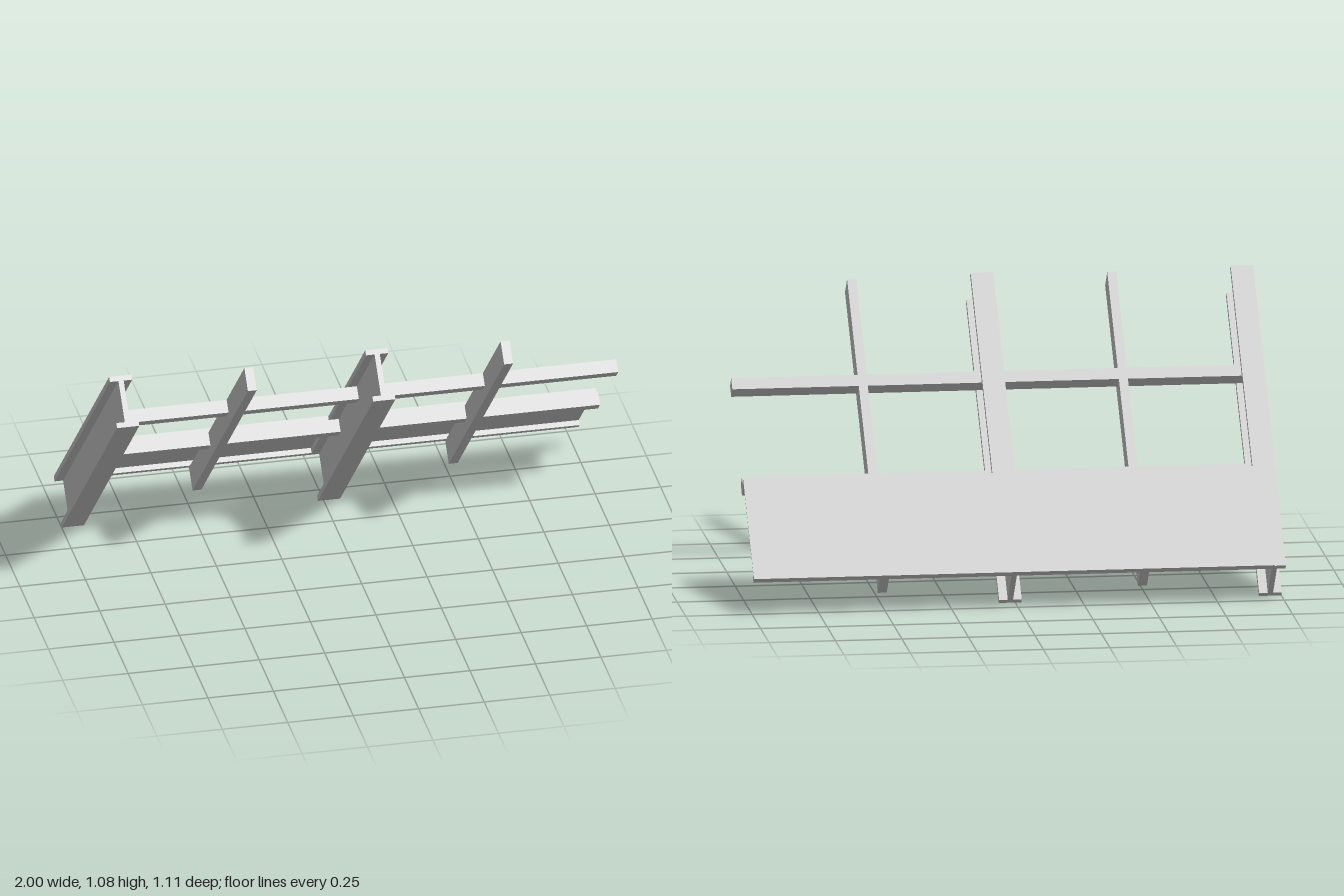
import * as THREE from 'three';

const LENGTH = 1.35, DEPTH = 0.2, FLANGE_W = 0.085, FLANGE_T = 0.02, WEB_T = 0.02;
const LEFT_END = 1, RIGHT_END = -0.957; // crosswise members start at the outer beam's web

export function createModel() {
  const model = new THREE.Group();
  model.name = 'roofSection';
  const grey = new THREE.MeshStandardMaterial({ color: 0xc0c0c0 });
  grey.name = 'light grey';

  // Everything is built flat (z along the slope, y normal to it), then tilted
  const frame = new THREE.Group();
  frame.name = 'slopedFrame';
  frame.position.y = 0.541;
  frame.rotation.x = -THREE.MathUtils.degToRad(44);
  model.add(frame);

  const add = (name, geometry, x, y, z) => {
    const mesh = new THREE.Mesh(geometry, grey);
    mesh.name = name;
    mesh.position.set(x, y, z);
    frame.add(mesh);
  };
  const crosswise = (name, height, depth, y, z) =>
    add(name, new THREE.BoxGeometry(LEFT_END - RIGHT_END, height, depth), (LEFT_END + RIGHT_END) / 2, y, z);

  // I-beams
  const w = FLANGE_W / 2, h = DEPTH / 2, t = WEB_T / 2, f = h - FLANGE_T;
  const profile = new THREE.Shape([
    [-w, -h], [w, -h], [w, -f], [t, -f], [t, f], [w, f],
    [w, h], [-w, h], [-w, f], [-t, f], [-t, -f], [-w, -f],
  ].map(([x, y]) => new THREE.Vector2(x, y)));
  const beam = new THREE.ExtrudeGeometry(profile, { depth: LENGTH, bevelEnabled: false });
  beam.translate(0, 0, -LENGTH / 2);
  for (const x of [-0.9575, 0.02]) add('iBeam', beam, x, 0, 0);

  // Rafters between the beams, tucked up to the underside of the top flange
  const rafter = new THREE.BoxGeometry(0.034, 0.09, LENGTH);
  for (const x of [-0.47, 0.508]) add('rafter', rafter, x, 0.035, 0);

  // Square purlins crossing the rafters
  for (const z of [0.219, -0.225]) crosswise('purlin', 0.05, 0.05, 0.055, z);

  // Battens along both edges of the covering sheet
  for (const z of [-0.24, -0.663]) crosswise('batten', 0.024, 0.024, 0.092, z);

  // Thin covering sheet on the lower part of the slope
  crosswise('roofSheet', 0.004, 0.447, 0.102, -0.4515);

  return model;
}
